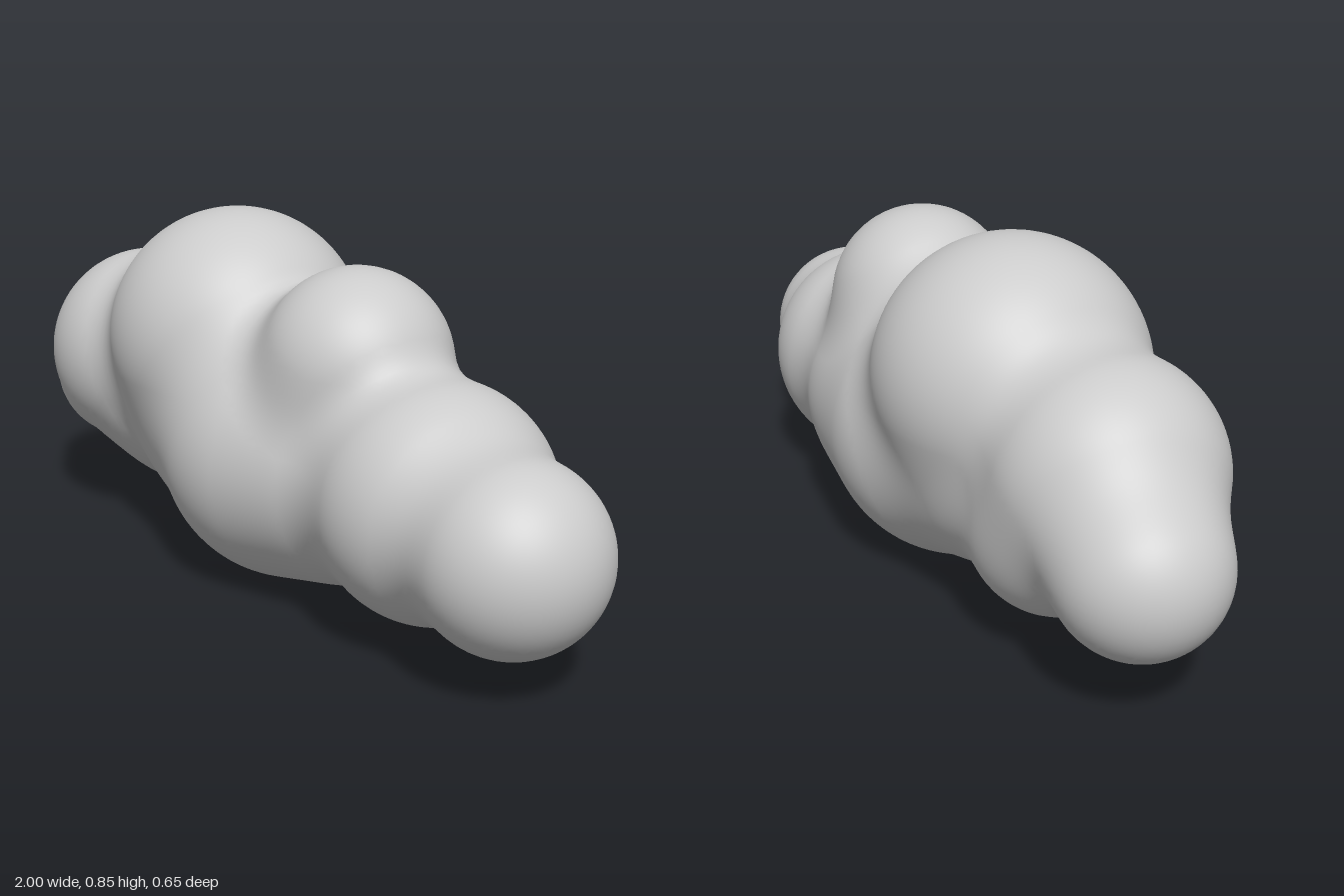
import * as THREE from 'three';

// Cloud puffs: centre x, y, z and radius
const PUFFS = [
  [-0.81, 0.33, 0, 0.19],
  [-0.6, 0.44, 0.04, 0.26],
  [-0.51, 0.29, -0.02, 0.2],
  [-0.25, 0.54, 0, 0.315],
  [-0.25, 0.33, 0, 0.25],
  [0, 0.325, 0, 0.325],
  [0.22, 0.32, -0.02, 0.275],
  [0.23, 0.57, 0, 0.22],
  [0.51, 0.325, 0, 0.27],
  [0.79, 0.3, 0.04, 0.21],
];
const BLEND = 0.08; // width of the soft fillet between puffs
const CELL = 0.02;
const ORIGIN = [-1.05, -0.05, -0.39];
const SIZE = [106, 49, 40];

// Distance to the softly merged puffs
function field(x, y, z) {
  let d = Infinity;
  for (const [cx, cy, cz, r] of PUFFS) {
    const e = Math.hypot(x - cx, y - cy, z - cz) - r;
    const h = Math.max(BLEND - Math.abs(d - e), 0) / BLEND;
    d = Math.min(d, e) - h * h * BLEND / 4;
  }
  return d;
}

function gradient(p, out) {
  const e = 0.001;
  return out.set(
    field(p.x + e, p.y, p.z) - field(p.x - e, p.y, p.z),
    field(p.x, p.y + e, p.z) - field(p.x, p.y - e, p.z),
    field(p.x, p.y, p.z + e) - field(p.x, p.y, p.z - e)
  ).normalize();
}

// Skin the field: one vertex per crossed cell, one quad per crossed grid edge
function blendedGeometry() {
  const [nx, ny, nz] = SIZE;
  const step = [1, nx, nx * ny];
  const values = new Float32Array(nx * ny * nz);
  const eachCell = (start, visit) => {
    for (let k = start; k < nz - 1; k++)
      for (let j = start; j < ny - 1; j++)
        for (let i = start; i < nx - 1; i++) visit([i, j, k], i + j * step[1] + k * step[2]);
  };
  for (let k = 0, n = 0; k < nz; k++)
    for (let j = 0; j < ny; j++)
      for (let i = 0; i < nx; i++)
        values[n++] = field(ORIGIN[0] + i * CELL, ORIGIN[1] + j * CELL, ORIGIN[2] + k * CELL);

  const vertexOf = new Map();
  const positions = [], normals = [], indices = [];
  const p = new THREE.Vector3(), normal = new THREE.Vector3();

  eachCell(0, (cell, id) => {
    const sum = [0, 0, 0];
    let count = 0;
    for (let a = 0; a < 3; a++) {
      const b = (a + 1) % 3, c = (a + 2) % 3;
      for (let q = 0; q < 4; q++) {
        const u = q & 1, v = q >> 1;
        const from = id + u * step[b] + v * step[c];
        const f0 = values[from], f1 = values[from + step[a]];
        if ((f0 < 0) === (f1 < 0)) continue;
        sum[a] += f0 / (f0 - f1);
        sum[b] += u;
        sum[c] += v;
        count++;
      }
    }
    if (!count) return;
    p.fromArray(cell.map((n, a) => ORIGIN[a] + (n + sum[a] / count) * CELL));
    for (let s = 0; s < 3; s++) p.addScaledVector(gradient(p, normal), -field(p.x, p.y, p.z));
    gradient(p, normal);
    vertexOf.set(id, positions.length / 3);
    positions.push(p.x, p.y, p.z);
    normals.push(normal.x, normal.y, normal.z);
  });

  eachCell(1, (cell, id) => {
    for (let a = 0; a < 3; a++) {
      const inside = values[id] < 0;
      if (inside === (values[id + step[a]] < 0)) continue;
      const b = step[(a + 1) % 3], c = step[(a + 2) % 3];
      const quad = [id - b - c, id - c, id, id - b].map((n) => vertexOf.get(n));
      if (!inside) quad.reverse();
      indices.push(quad[0], quad[1], quad[2], quad[0], quad[2], quad[3]);
    }
  });

  const geometry = new THREE.BufferGeometry();
  geometry.setAttribute('position', new THREE.Float32BufferAttribute(positions, 3));
  geometry.setAttribute('normal', new THREE.Float32BufferAttribute(normals, 3));
  geometry.setIndex(indices);
  return geometry;
}

export function createModel() {
  const cloud = new THREE.Group();
  cloud.name = 'cloud';
  const body = new THREE.Mesh(blendedGeometry(), new THREE.MeshStandardMaterial({ color: 0xcccccc }));
  body.name = 'cloudBody';
  cloud.add(body);
  return cloud;
}
